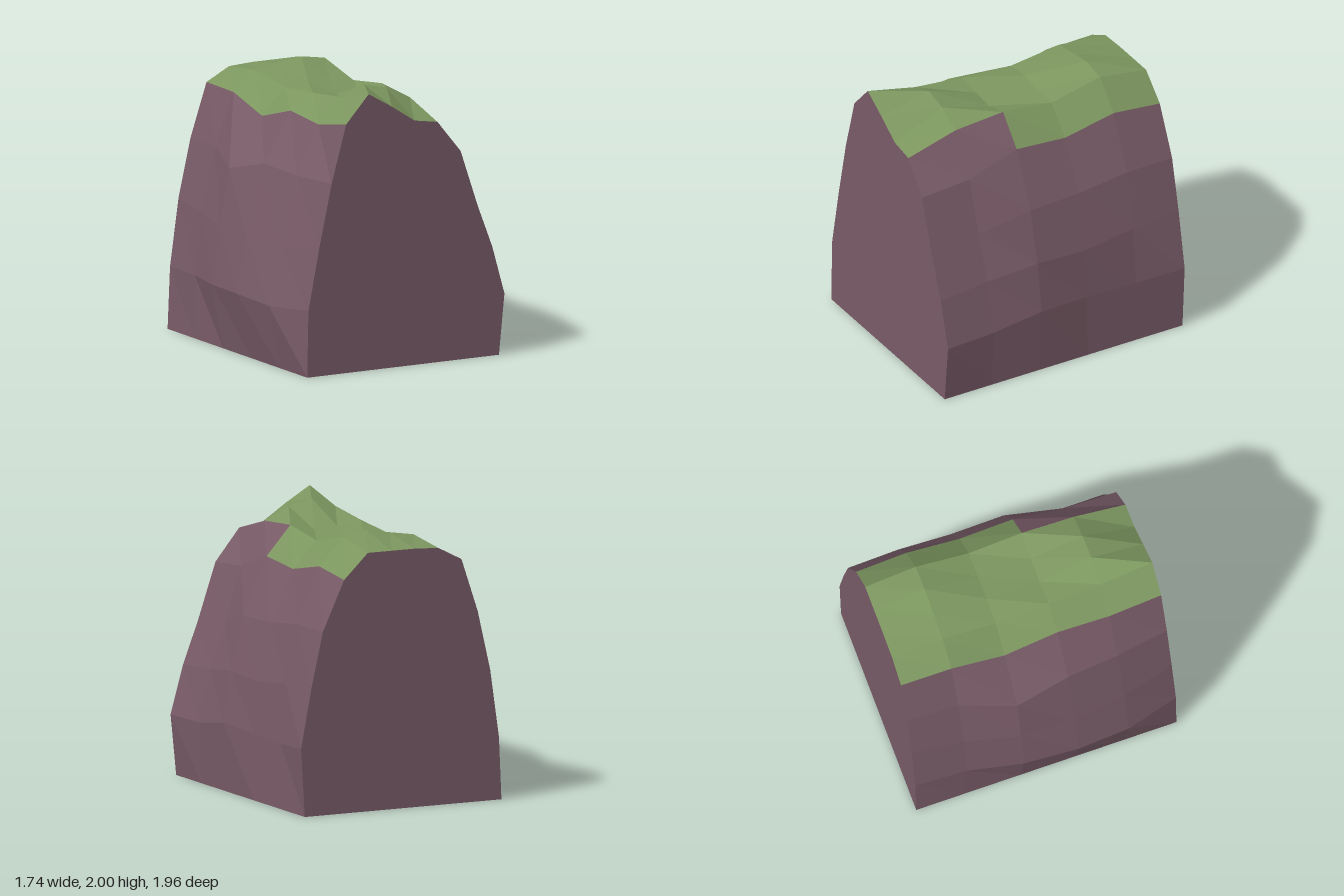
import * as THREE from 'three';

// Cross-sections of the hill, from front to back
const Z = [0.98, 0.59, 0.2, -0.2, -0.6, -0.98];
const TOP_X = [-0.43, -0.245, -0.055, 0.13, 0.32, 0.51];
const TOP_Y = [
  [1.80, 2.00, 1.89, 1.77, 1.74, 1.51],
  [1.73, 1.91, 1.98, 1.94, 1.85, 1.54],
  [1.76, 1.87, 1.84, 1.83, 1.88, 1.67],
  [1.65, 1.84, 1.86, 1.84, 1.83, 1.64],
  [1.75, 1.89, 1.92, 1.95, 1.92, 1.72],
  [1.755, 1.85, 1.86, 1.86, 1.86, 1.68],
];
// Wall points on the -x side (bottom to top) and the +x side (top to bottom)
const WALL_NEG = [
  [[-0.74, 0.48], [-0.65, 0.93], [-0.55, 1.38]],
  [[-0.84, 0.46], [-0.74, 0.88], [-0.61, 1.38]],
  [[-0.87, 0.48], [-0.79, 0.87], [-0.65, 1.40]],
  [[-0.84, 0.47], [-0.78, 0.88], [-0.70, 1.30]],
  [[-0.75, 0.46], [-0.69, 0.91], [-0.58, 1.37]],
  [[-0.73, 0.45], [-0.66, 0.94], [-0.56, 1.37]],
];
const WALL_POS = [
  [[0.65, 1.10], [0.77, 0.79], [0.87, 0.44]],
  [[0.64, 1.15], [0.76, 0.82], [0.845, 0.44]],
  [[0.70, 1.26], [0.80, 0.87], [0.857, 0.50]],
  [[0.69, 1.27], [0.79, 0.85], [0.82, 0.48]],
  [[0.69, 1.32], [0.78, 0.90], [0.82, 0.47]],
  [[0.68, 1.32], [0.77, 0.93], [0.855, 0.49]],
];

const sections = Z.map((z, i) => [
  [-0.75, 0], ...WALL_NEG[i],
  ...TOP_X.map((x, j) => [x, TOP_Y[i][j]]),
  ...WALL_POS[i], [0.825, 0],
]);

// Skin made of the quads between neighbouring sections that pass the test
function skin(test) {
  const p = [];
  for (let i = 0; i < Z.length - 1; i++) {
    for (let j = 0; j < sections[0].length - 1; j++) {
      if (!test(i, j)) continue;
      const a = [...sections[i][j], Z[i]], b = [...sections[i][j + 1], Z[i]];
      const c = [...sections[i + 1][j + 1], Z[i + 1]], d = [...sections[i + 1][j], Z[i + 1]];
      p.push(...a, ...b, ...c, ...a, ...c, ...d);
    }
  }
  const g = new THREE.BufferGeometry();
  g.setAttribute('position', new THREE.Float32BufferAttribute(p, 3));
  g.computeVertexNormals();
  return g;
}

// Flat end wall; the back one is mirrored and turned to face outward
function endWall(i, dir) {
  const shape = new THREE.Shape(sections[i].map(([x, y]) => new THREE.Vector2(x * dir, y)));
  const g = new THREE.ShapeGeometry(shape);
  if (dir < 0) g.rotateY(Math.PI);
  return g.translate(0, 0, Z[i]);
}

export function createModel() {
  const model = new THREE.Group();
  model.name = 'grassyHill';
  const make = (color, name) => {
    const m = new THREE.MeshStandardMaterial({ color, flatShading: true, side: THREE.DoubleSide });
    m.name = name;
    return m;
  };
  const rock = make(0x785b67, 'mauveRock');
  const grass = make(0x7c965f, 'mossGreen');

  // Grass covers the crest and spills over the +x shoulder towards the back
  const isGrass = (i, j) => j >= 4 && j <= (i < 2 ? 7 : 8);
  const add = (geometry, material, name) => {
    const mesh = new THREE.Mesh(geometry, material);
    mesh.name = name;
    model.add(mesh);
  };
  add(skin(isGrass), grass, 'grassTop');
  add(skin((i, j) => !isGrass(i, j)), rock, 'rockSides');
  add(endWall(0, 1), rock, 'frontWall');
  add(endWall(Z.length - 1, -1), rock, 'backWall');
  return model;
}
